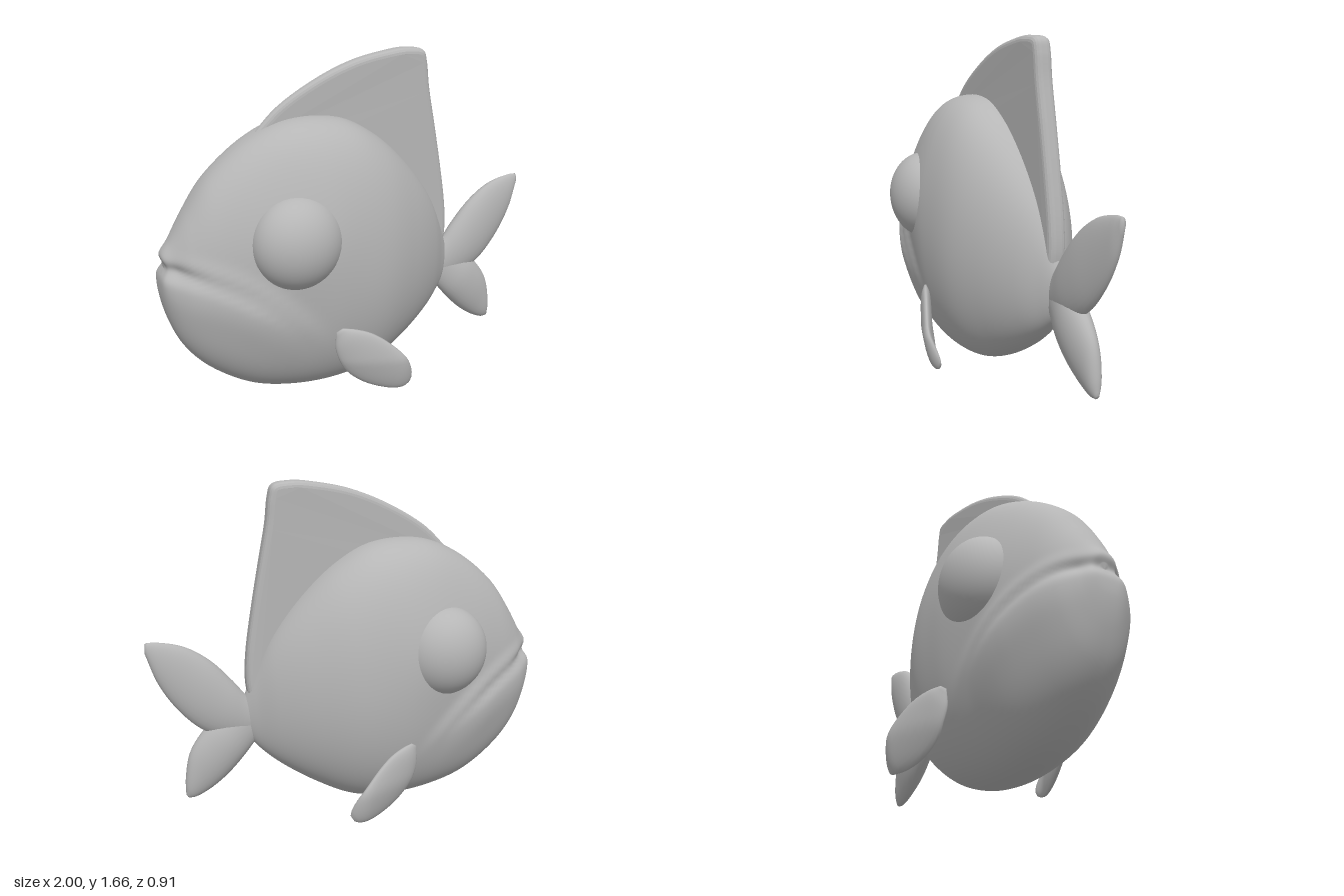
import * as THREE from 'three';

const { clamp, lerp, smoothstep } = THREE.MathUtils;
const skin = new THREE.MeshStandardMaterial({ color: 0xb6b6b6 });
skin.name = 'grey';

// Closed surface through cross-sections [ax, ay, bx, by, halfThickness]:
// A is the upper edge, B the lower edge. power(t, cos) sets how full the
// section is (1 = ellipse); rule(p) may move each vertex.
function loft(sections, n, m, power, rule) {
  const edgeA = new THREE.CatmullRomCurve3(sections.map(s => new THREE.Vector3(s[0], s[1], 0)));
  const edgeB = new THREE.CatmullRomCurve3(sections.map(s => new THREE.Vector3(s[2], s[3], s[4])));
  const pos = [], idx = [], p = new THREE.Vector3();
  for (let i = -1; i <= n + 1; i++) {
    const t = clamp(i / n, 0, 1);
    const open = i < 0 || i > n ? 0 : 1; // end rings collapse into caps
    const a = edgeA.getPoint(t), b = edgeB.getPoint(t);
    for (let j = 0; j < m; j++) {
      const ang = (j / m) * Math.PI * 2, s = Math.sin(ang), c = Math.cos(ang), k = open * c / 2;
      p.set((a.x + b.x) / 2 + (a.x - b.x) * k, (a.y + b.y) / 2 + (a.y - b.y) * k,
        open * Math.max(b.z, 0) * Math.sign(s) * Math.abs(s) ** power(t, c));
      if (rule) rule(p);
      pos.push(p.x, p.y, p.z);
    }
  }
  for (let i = 0; i < n + 2; i++) {
    for (let j = 0; j < m; j++) {
      const k = (j + 1) % m, u = i * m, v = u + m;
      idx.push(u + j, u + k, v + j, u + k, v + k, v + j);
    }
  }
  const g = new THREE.BufferGeometry();
  g.setAttribute('position', new THREE.Float32BufferAttribute(pos, 3));
  g.setIndex(idx);
  g.computeVertexNormals();
  return g;
}

const ellipse = () => 1;
// Slightly broader shoulders around the middle of the back
const bodyFullness = (t, c) => 0.87
  - 0.1 * smoothstep(t, 0.35, 0.5) * (1 - smoothstep(t, 0.6, 0.8)) * smoothstep(c, -0.2, 0.3);

// Mouth crease curving down the cheek, fuller jaw, and a slimmer forehead
function shapeFace(p) {
  const u = p.x + 1;
  const fade = clamp((-0.4 - p.x) / 0.25, 0, 1);
  const d = p.y - (0.74 - 0.1 * u - 0.7 * u * u);
  const crease = Math.exp(-((d / 0.035) ** 2)) * fade;
  const jaw = Math.exp(-((d + 0.12) ** 2) / 0.012) * fade;
  const socket = Math.exp(-((p.x + 0.42) ** 2 + (p.y - 0.84) ** 2) / 0.05);
  const forehead = smoothstep(d, 0, 0.12) * (1 - smoothstep(p.x, -0.6, -0.2));
  const side = clamp(p.z / 0.12, -1, 1);
  p.z *= 1 - 0.1 * forehead;
  p.z += side * (0.012 * jaw - 0.02 * crease + 0.02 * socket);
  p.x += 0.025 * crease * clamp((-0.8 - p.x) / 0.15, 0, 1);
}

const BODY = [
  [-0.995, 0.76, -0.998, 0.70, 0.03], [-0.985, 0.80, -0.998, 0.60, 0.075],
  [-0.94, 0.86, -0.97, 0.47, 0.12], [-0.86, 0.99, -0.91, 0.33, 0.185],
  [-0.75, 1.14, -0.8, 0.2, 0.245], [-0.55, 1.295, -0.6, 0.07, 0.315],
  [-0.35, 1.37, -0.4, 0.015, 0.345], [-0.1, 1.36, -0.2, 0.002, 0.358],
  [0.08, 1.27, 0, 0.03, 0.34], [0.25, 1.12, 0.2, 0.13, 0.268],
  [0.4, 0.93, 0.38, 0.255, 0.165], [0.49, 0.75, 0.48, 0.35, 0.08],
  [0.54, 0.62, 0.53, 0.42, 0.035],
];
const TAIL_UPPER = [
  [0.46, 0.56, 0.46, 0.42, 0.03], [0.53, 0.63, 0.55, 0.4, 0.05],
  [0.6, 0.72, 0.65, 0.42, 0.065], [0.7, 0.83, 0.76, 0.48, 0.065],
  [0.82, 0.91, 0.87, 0.6, 0.05], [0.95, 0.943, 0.95, 0.74, 0.03],
  [0.993, 0.943, 0.998, 0.89, 0.012],
];
const TAIL_LOWER = [
  [0.48, 0.6, 0.46, 0.42, 0.03], [0.58, 0.58, 0.51, 0.36, 0.05],
  [0.68, 0.53, 0.57, 0.29, 0.07], [0.75, 0.465, 0.65, 0.21, 0.068],
  [0.82, 0.36, 0.74, 0.145, 0.05], [0.85, 0.22, 0.81, 0.115, 0.03],
  [0.853, 0.135, 0.84, 0.115, 0.01],
];
const SIDE_FIN = [
  [-0.22, 0.405, -0.25, 0.385, 0.008], [-0.17, 0.4, -0.252, 0.29, 0.025],
  [-0.09, 0.375, -0.21, 0.185, 0.03], [0, 0.31, -0.12, 0.105, 0.03],
  [0.08, 0.22, -0.01, 0.063, 0.025], [0.115, 0.14, 0.07, 0.06, 0.015],
  [0.12, 0.105, 0.1, 0.07, 0.006],
];

// Flat sail-shaped fin with a bevelled rim
function dorsalGeometry() {
  const s = new THREE.Shape();
  s.moveTo(-0.55, 1.27);
  s.splineThru([[-0.4, 1.42], [-0.2, 1.54], [0, 1.62], [0.2, 1.66], [0.3, 1.665],
    [0.37, 1.65], [0.393, 1.59], [0.41, 1.46], [0.45, 1.26], [0.49, 1.05],
    [0.522, 0.85], [0.53, 0.7], [0.51, 0.56]].map(q => new THREE.Vector2(...q)));
  s.lineTo(0.3, 0.6);
  s.lineTo(-0.3, 1.2);
  const g = new THREE.ExtrudeGeometry(s, {
    depth: 0.03, curveSegments: 48, bevelEnabled: true,
    bevelThickness: 0.03, bevelSize: 0.03, bevelOffset: -0.03, bevelSegments: 4,
  });
  g.translate(0, 0, -0.015);
  // Thinner towards the leading edge
  const pos = g.attributes.position;
  for (let i = 0; i < pos.count; i++) {
    const t = clamp((pos.getX(i) + 0.55) / 0.8, 0, 1);
    pos.setZ(i, pos.getZ(i) * lerp(0.45, 1, t));
  }
  g.computeVertexNormals();
  return g;
}

export function createModel() {
  const fish = new THREE.Group();
  fish.name = 'fish';
  const add = (name, geometry) => {
    const mesh = new THREE.Mesh(geometry, skin);
    mesh.name = name;
    fish.add(mesh);
    return mesh;
  };

  add('body', loft(BODY, 110, 112, bodyFullness, shapeFace));
  add('dorsalFin', dorsalGeometry());
  add('upperTailLobe', loft(TAIL_UPPER, 32, 28, ellipse));
  add('lowerTailLobe', loft(TAIL_LOWER, 32, 28, ellipse));

  // Bulging eyes and splayed side fins, one on each flank
  for (const side of [1, -1]) {
    const suffix = side > 0 ? 'Front' : 'Back';
    const eye = add('eye' + suffix, new THREE.SphereGeometry(1, 40, 28));
    eye.scale.set(0.22, 0.225, 0.175);
    eye.position.set(-0.41, 0.845, side * 0.252);

    // Fin leans outward to the rear, its lower tip curling back in
    add('sideFin' + suffix, loft(SIDE_FIN, 28, 24, ellipse, p => {
      const curl = 4 * Math.max(0, p.x - 0.02) ** 2;
      const tuck = 0.2 * Math.max(0, 0.23 - p.y);
      p.z += side * (0.4 + 0.4 * (p.x + 0.06) - tuck - curl);
    }));
  }
  return fish;
}
